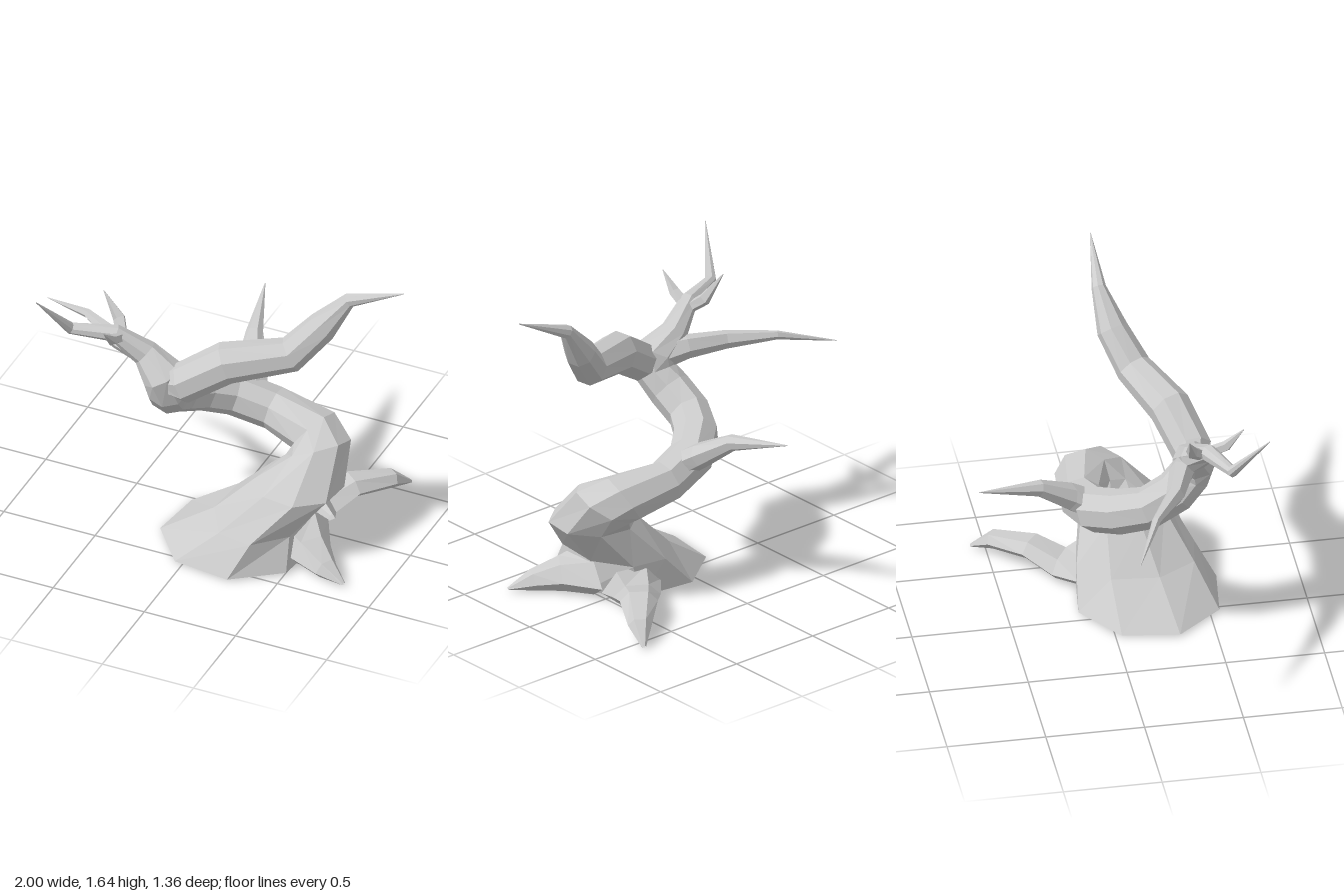
import * as THREE from 'three';

const material = new THREE.MeshStandardMaterial({
  color: 0xcccccc, flatShading: true, side: THREE.DoubleSide,
});

// Lofts open rings along a path. Station: [x, y, z, radius, second radius?, ring normal?]
function limb(name, stations, sides = 6, ref = [0, 1, 0], phase = 0.5) {
  const centres = stations.map(s => new THREE.Vector3(s[0], s[1], s[2]));
  const u = new THREE.Vector3(...ref), v = new THREE.Vector3(), n = new THREE.Vector3();
  const last = stations.length - 1;
  const positions = [], index = [];
  stations.forEach((s, i) => {
    if (s[5]) n.set(...s[5]).normalize();
    else {
      n.set(0, 0, 0);
      if (i > 0) n.add(centres[i].clone().sub(centres[i - 1]).normalize());
      if (i < last) n.add(centres[i + 1].clone().sub(centres[i]).normalize());
      n.normalize();
    }
    // carry the ring's reference axis along the path so it does not twist
    u.addScaledVector(n, -u.dot(n)).normalize();
    v.crossVectors(n, u);
    const ru = s[3], rv = s[4] ?? s[3];
    for (let k = 0; k < sides; k++) {
      const a = (k + phase) / sides * Math.PI * 2;
      const p = centres[i].clone()
        .addScaledVector(u, Math.cos(a) * ru)
        .addScaledVector(v, Math.sin(a) * rv);
      positions.push(p.x, Math.max(0, p.y), p.z);
    }
  });
  for (let i = 0; i < last; i++) {
    for (let k = 0; k < sides; k++) {
      const a = i * sides + k, b = i * sides + (k + 1) % sides;
      index.push(a, b, b + sides, a, b + sides, a + sides);
    }
  }
  const geometry = new THREE.BufferGeometry();
  geometry.setAttribute('position', new THREE.Float32BufferAttribute(positions, 3));
  geometry.setIndex(index);
  const flat = geometry.toNonIndexed();
  flat.computeVertexNormals();
  const mesh = new THREE.Mesh(flat, material);
  mesh.name = name;
  return mesh;
}

export function createModel() {
  const tree = new THREE.Group();
  tree.name = 'twistedTree';
  const up = [0, 1, 0];

  // Trunk: flared open foot, bends back, sweeps round, rises through the fork
  // and runs on into the high branch
  tree.add(limb('trunkAndHighBranch', [
    [0.16, 0.01, 0.22, 0.4, 0.38, up],
    [0.28, 0.18, 0.18, 0.245, 0.32, up],
    [0.46, 0.38, 0.145, 0.225, 0.225, up],
    [0.5, 0.52, 0.01, 0.17, 0.165, [-0.4, 0.85, -0.3]],
    [0.44, 0.56, -0.06, 0.14, 0.14, [-0.8, 0.55, -0.25]],
    [0.2, 0.595, -0.11, 0.112],
    [0.0, 0.655, -0.07, 0.115],
    [-0.12, 0.71, 0.03, 0.115],
    [-0.185, 0.76, 0.16, 0.11],
    [-0.18, 0.84, 0.3, 0.11],
    [-0.155, 0.92, 0.38, 0.108],
    [-0.17, 1.01, 0.4, 0.11],
    [-0.28, 1.1, 0.38, 0.07],
    [-0.42, 1.21, 0.43, 0.045],
    [-0.63, 1.23, 0.51, 0.03],
    [-0.74, 1.46, 0.68, 0.002],
  ], 8, [1, 0, 0], 1 / 3));

  // Other branches from the fork
  tree.add(limb('longBranch', [
    [-0.17, 0.97, 0.4, 0.06],
    [-0.06, 1.0, 0.405, 0.105],
    [0.14, 1.13, 0.33, 0.108],
    [0.435, 1.185, 0.2, 0.092],
    [0.57, 1.34, 0.115, 0.08],
    [0.7, 1.51, 0.07, 0.037],
    [1.0, 1.64, 0.08, 0.002],
  ], 8));
  tree.add(limb('lowBranch', [
    [-0.15, 1.0, 0.39, 0.085],
    [-0.3, 1.035, 0.31, 0.062],
    [-0.5, 1.035, 0.245, 0.047],
    [-0.72, 1.04, 0.11, 0.023],
    [-1.0, 0.97, -0.02, 0.002],
  ]));

  // Short twigs on the high branch
  tree.add(limb('frontTwig', [
    [-0.39, 1.19, 0.42, 0.03], [-0.4, 1.23, 0.52, 0.028], [-0.4, 1.32, 0.61, 0.002],
  ], 5));
  tree.add(limb('backTwig', [
    [-0.39, 1.18, 0.41, 0.03], [-0.44, 1.24, 0.34, 0.033], [-0.54, 1.36, 0.31, 0.002],
  ], 5));

  // Thorn-like branch behind the bend of the trunk
  tree.add(limb('rearBranch', [
    [0.055, 0.67, -0.12, 0.07, 0.1],
    [0.04, 0.725, -0.2, 0.065, 0.085],
    [-0.02, 0.83, -0.36, 0.043, 0.045],
    [-0.11, 0.9, -0.68, 0.002],
  ], 7));

  // Surface roots, flaring where they leave the trunk
  tree.add(limb('rearRoot', [
    [0.4, 0.07, -0.08, 0.11, 0.17, [0.2, 0, -1]],
    [0.44, 0.06, -0.17, 0.065, 0.12],
    [0.54, 0.11, -0.3, 0.055, 0.095],
    [0.68, 0.08, -0.47, 0.045, 0.06],
    [0.74, 0.015, -0.57, 0.008, 0.012],
  ]));
  tree.add(limb('frontRoot', [
    [0.48, 0.07, 0.18, 0.125, 0.21, [1, 0, 0.3]],
    [0.57, 0.065, 0.26, 0.09, 0.115],
    [0.69, 0.04, 0.335, 0.058, 0.065],
    [0.81, 0.015, 0.385, 0.006, 0.012],
  ]));
  return tree;
}
